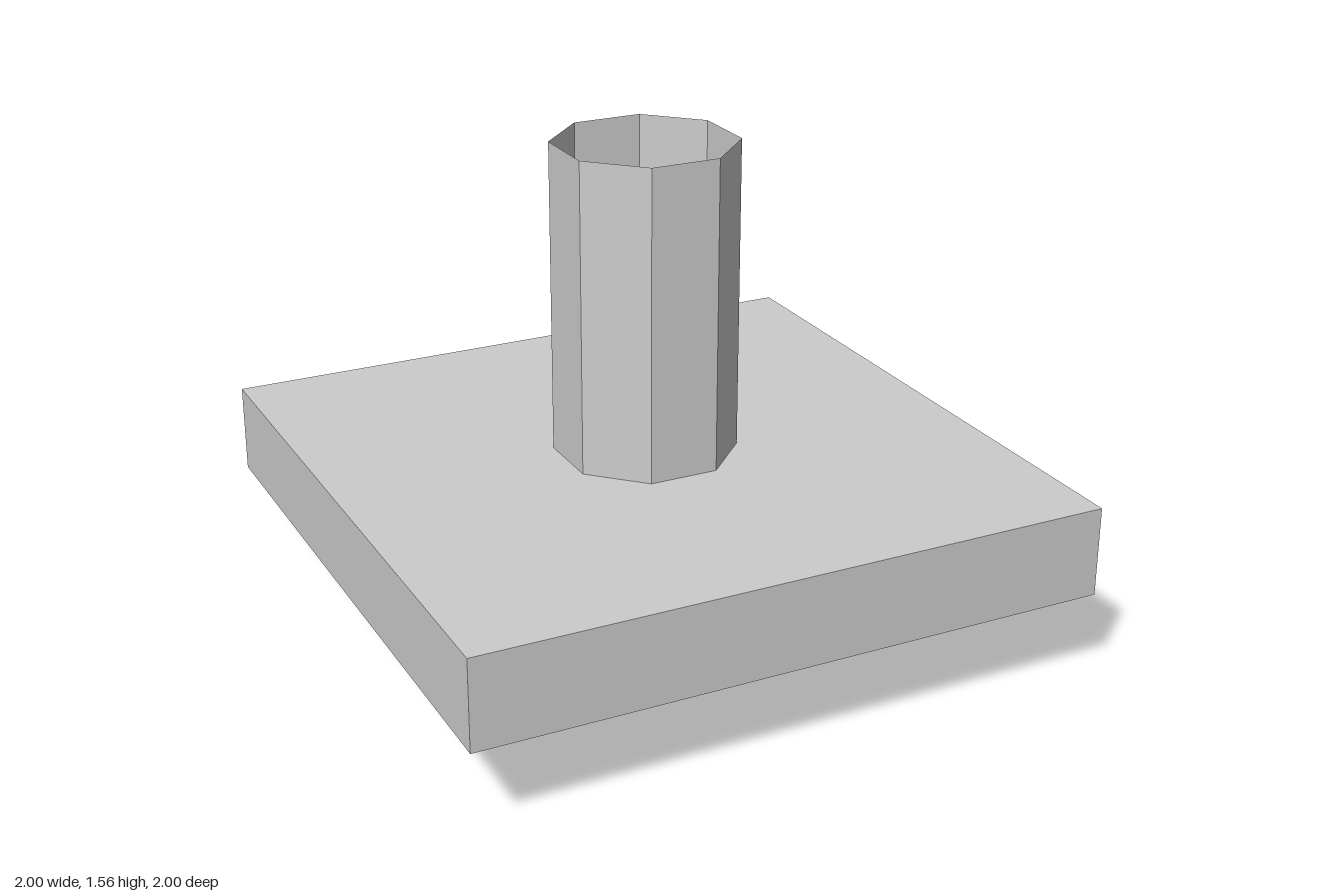
import * as THREE from 'three';

export function createModel() {
  const model = new THREE.Group();
  const grey = new THREE.MeshStandardMaterial({ color: 0xcccccc, flatShading: true, side: THREE.DoubleSide });
  grey.name = 'light grey';

  // Square slab between two heights
  function slab(name, width, bottom, top) {
    const mesh = new THREE.Mesh(new THREE.BoxGeometry(width, top - bottom, width), grey);
    mesh.name = name;
    mesh.position.y = (bottom + top) / 2;
    model.add(mesh);
  }

  // Stepped base under a wide plate
  slab('lowerStep', 0.854, 0, 0.147);
  slab('upperStep', 1.142, 0.147, 0.292);
  slab('plate', 2, 0.292, 0.576);

  // Thin-walled octagonal tube, open at the top, flat sides facing the axes
  const apothem = 0.265, bottom = 0.576, top = 1.562;
  const radius = apothem / Math.cos(Math.PI / 8);
  const tube = new THREE.Mesh(
    new THREE.CylinderGeometry(radius, radius, top - bottom, 8, 1, true, Math.PI / 8),
    grey
  );
  tube.name = 'octagonalTube';
  tube.position.y = (bottom + top) / 2;
  model.add(tube);

  return model;
}
